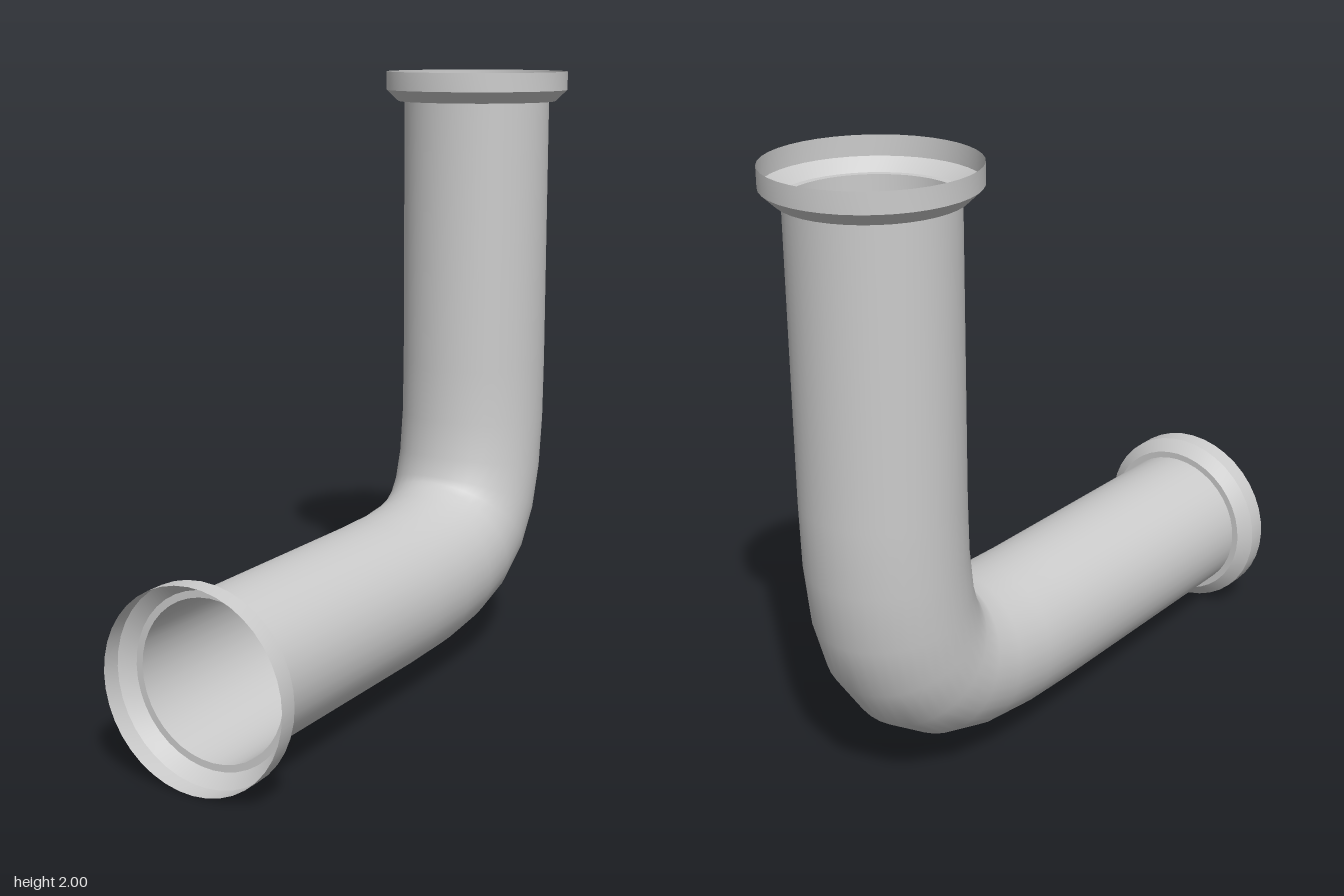
import * as THREE from 'three';
import { toCreasedNormals } from 'three/addons/utils/BufferGeometryUtils.js';

const SIDES = 40;
const PIPE_R = 0.248;
const LOW = 0.313; // height of the horizontal run's axis
const BACK = -0.69; // z of the vertical run's axis

const material = new THREE.MeshStandardMaterial({ color: 0xcccccc, side: THREE.DoubleSide });

// Sweeps a circle along stations { p, t } lying in the yz plane
function sweep(stations) {
  const positions = [];
  const index = [];
  for (const { p, t } of stations) {
    for (let j = 0; j < SIDES; j++) {
      const a = (j / SIDES) * Math.PI * 2;
      const s = Math.sin(a) * PIPE_R;
      positions.push(Math.cos(a) * PIPE_R, p.y + s * t.z, p.z - s * t.y);
    }
  }
  for (let i = 0; i < stations.length - 1; i++) {
    for (let j = 0; j < SIDES; j++) {
      const k = (j + 1) % SIDES;
      const a = i * SIDES + j, b = i * SIDES + k;
      const c = a + SIDES, d = b + SIDES;
      index.push(a, b, d, a, d, c);
    }
  }
  const geometry = new THREE.BufferGeometry();
  geometry.setAttribute('position', new THREE.Float32BufferAttribute(positions, 3));
  geometry.setIndex(index);
  geometry.computeVertexNormals();
  return geometry;
}

export function createModel() {
  const group = new THREE.Group();

  // Straight run, eight-segment elbow, straight run
  const h = 0.1; // distance of the curve handles from the corner
  const elbow = new THREE.CubicBezierCurve3(
    new THREE.Vector3(0, LOW, 0),
    new THREE.Vector3(0, LOW, BACK + h),
    new THREE.Vector3(0, LOW + h, BACK),
    new THREE.Vector3(0, 1, BACK)
  );
  const stations = [{ p: new THREE.Vector3(0, LOW, 0.9), t: new THREE.Vector3(0, 0, -1) }];
  for (let i = 0; i <= 8; i++) {
    stations.push({ p: elbow.getPoint(i / 8), t: elbow.getTangent(i / 8) });
  }
  stations.push({ p: new THREE.Vector3(0, 1.9, BACK), t: new THREE.Vector3(0, 1, 0) });
  const pipe = new THREE.Mesh(sweep(stations), material);
  pipe.name = 'bentPipe';
  group.add(pipe);

  // Thin flared collar, open at its outer end
  const profile = [[PIPE_R, 0], [0.27, 0], [0.31, 0.038], [0.31, 0.1]]
    .map(([r, y]) => new THREE.Vector2(r, y));
  const collar = toCreasedNormals(new THREE.LatheGeometry(profile, SIDES), 0.5);

  const topCollar = new THREE.Mesh(collar, material);
  topCollar.name = 'topCollar';
  topCollar.position.set(0, 1.9, BACK);

  const frontCollar = new THREE.Mesh(collar, material);
  frontCollar.name = 'frontCollar';
  frontCollar.position.set(0, LOW, 0.9);
  frontCollar.rotation.x = Math.PI / 2;

  group.add(topCollar, frontCollar);
  return group;
}
